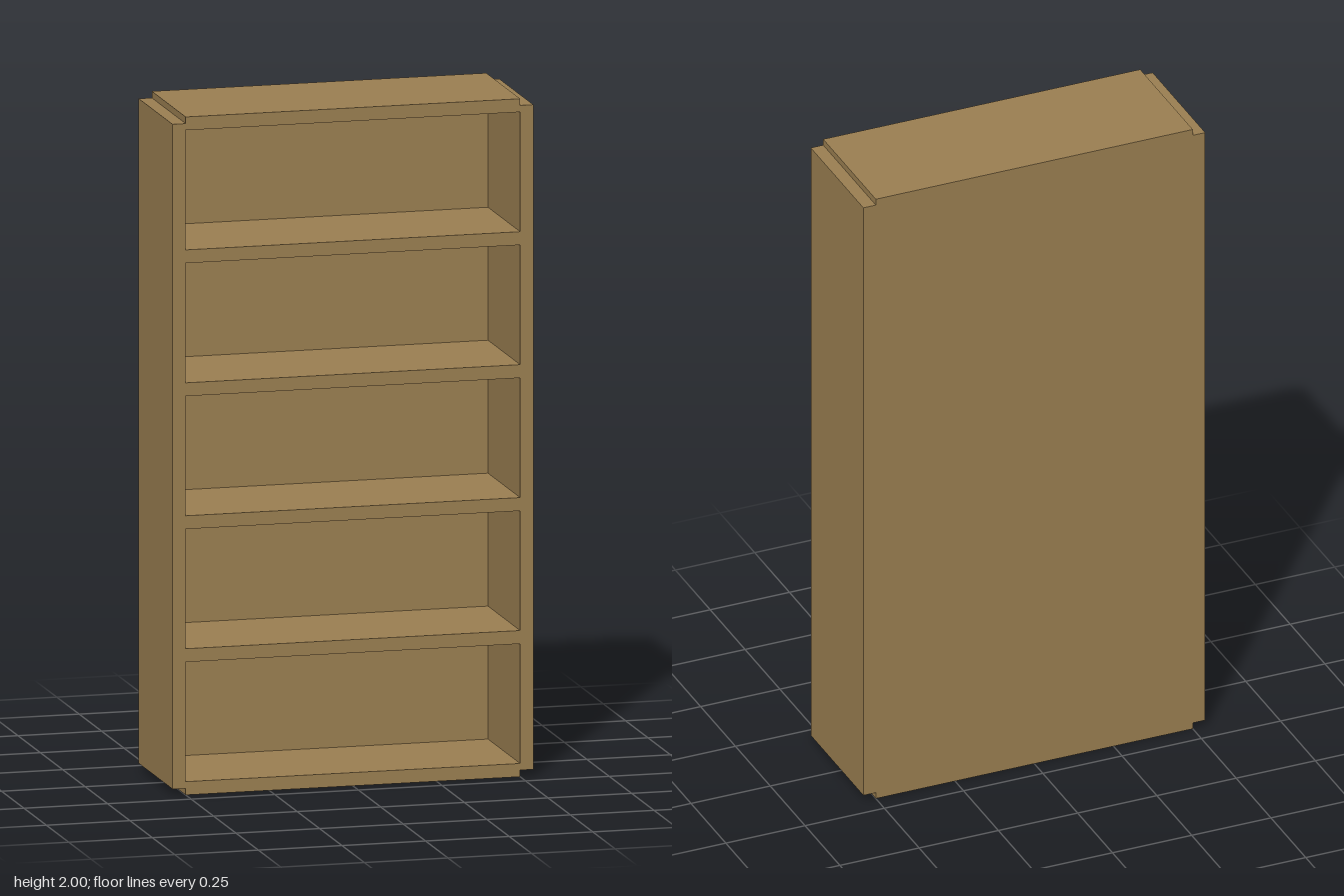
import * as THREE from 'three';

const WIDTH = 1.0;       // between the side panels
const DEPTH = 0.378;
const BOARD = 0.0392;    // board thickness
const HEIGHT = 2;
const BACK = 0.019;      // back panel thickness
const BAYS = 5;

export function createModel() {
  const group = new THREE.Group();
  const wood = new THREE.MeshStandardMaterial({ color: 0x9c8052 });

  function addBoard(name, w, h, d, x, y, z) {
    const mesh = new THREE.Mesh(new THREE.BoxGeometry(w, h, d), wood);
    mesh.name = name;
    mesh.position.set(x, y, z);
    group.add(mesh);
  }

  // Side panels stop halfway through the top and bottom boards
  const sideHeight = HEIGHT - BOARD;
  for (const [name, s] of [['leftSide', 1], ['rightSide', -1]]) {
    addBoard(name, BOARD, sideHeight, DEPTH, s * (WIDTH + BOARD) / 2, HEIGHT / 2, 0);
  }

  // Evenly spaced boards; the inner shelves stop at the back panel
  const pitch = sideHeight / BAYS;
  for (let i = 0; i <= BAYS; i++) {
    const outer = i === 0 || i === BAYS;
    const name = i === 0 ? 'bottomBoard' : i === BAYS ? 'topBoard' : `shelf${i}`;
    const inset = outer ? 0 : BACK;
    addBoard(name, WIDTH, BOARD, DEPTH - inset, 0, BOARD / 2 + i * pitch, inset / 2);
  }

  // Back panel, flush with the rear edges
  addBoard('backPanel', WIDTH, HEIGHT - 2 * BOARD, BACK, 0, HEIGHT / 2, (BACK - DEPTH) / 2);

  return group;
}
